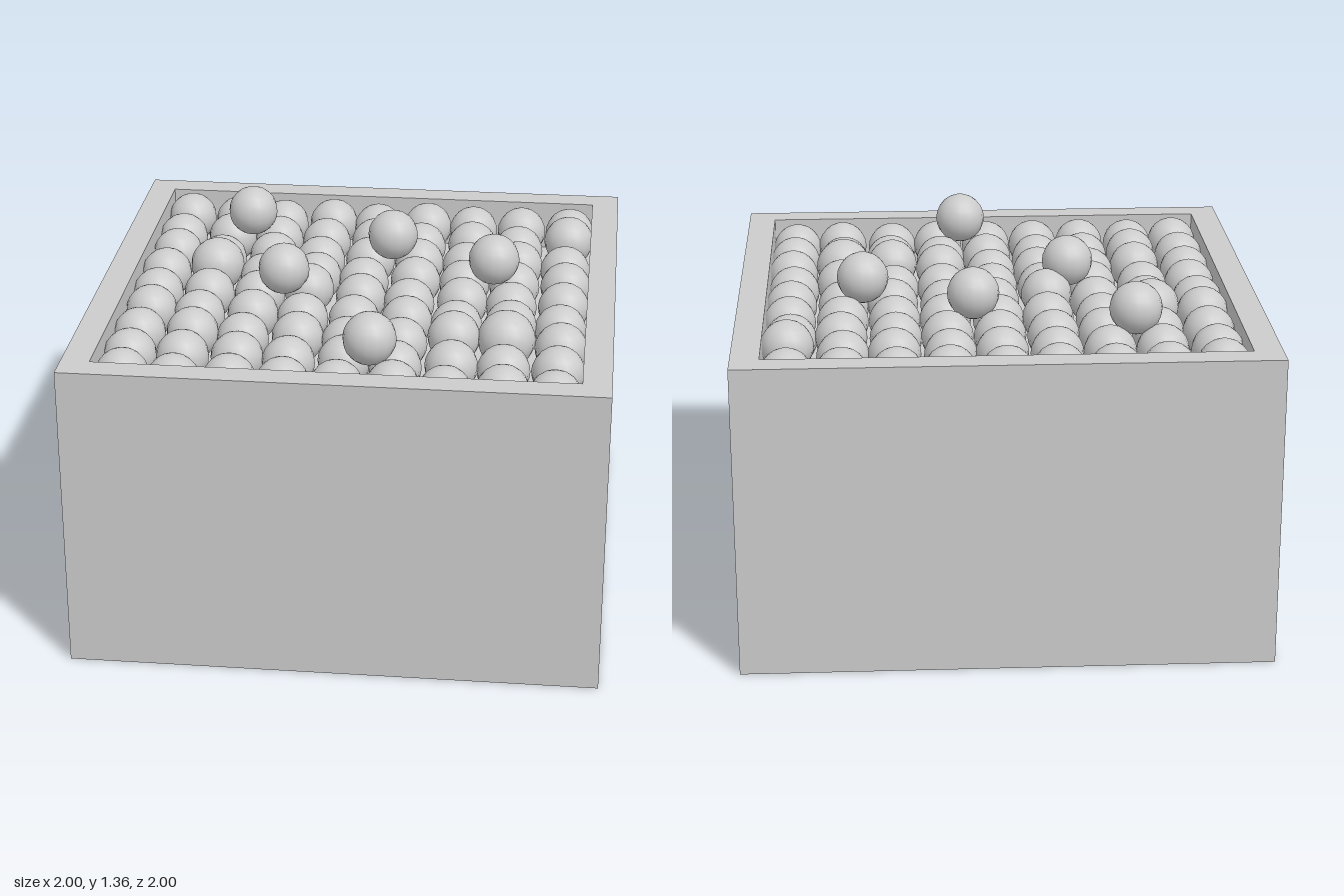
import * as THREE from 'three';

export function createModel() {
  const model = new THREE.Group();
  const material = new THREE.MeshStandardMaterial({ color: 0xcccccc });

  // Square tub: four-sided lathe with outer wall, rim, inner wall and bed
  const profile = [[0, 0], [1, 0], [1, 1.2], [0.893, 1.2], [0.893, 1.0], [0, 1.0]]
    .map(([r, y]) => new THREE.Vector2(r * Math.SQRT2, y));
  const tubGeometry = new THREE.LatheGeometry(profile, 4, Math.PI / 4).toNonIndexed();
  tubGeometry.computeVertexNormals();
  const tub = new THREE.Mesh(tubGeometry, material);
  tub.name = 'tub';
  model.add(tub);

  const ballGeometry = new THREE.SphereGeometry(0.1, 16, 12);
  const addBall = (parent, name, x, y, z, scale = 1) => {
    const ball = new THREE.Mesh(ballGeometry, material);
    ball.name = name;
    ball.position.set(x, y, z);
    ball.scale.setScalar(scale);
    parent.add(ball);
  };

  // Balls that sit off the regular grid: "column,row" -> [dx, dy, dz, scale]
  const shifted = {
    '1,3': [0, 0.04, 0, 1.08], '3,4': [0, 0.04, -0.01, 1],
    '7,6': [0, 0.04, 0, 1.1], '6,6': [0, 0.04, 0.01, 1],
    '8,1': [0, 0.04, 0, 1], '0,3': [0, 0.01, 0.02, 1],
    '1,2': [0, 0, 0.02, 1], '5,6': [0, 0.01, 0.03, 1],
    '7,5': [0, 0.01, 0.03, 1], '1,6': [0, 0.01, 0.02, 1],
    '1,7': [0, 0.01, 0.02, 1], '0,0': [0, 0.01, 0, 1],
  };

  // Nine by nine layer of balls level with the rim
  const layer = new THREE.Group();
  layer.name = 'ballLayer';
  for (let row = 0; row < 9; row++) {
    for (let col = 0; col < 9; col++) {
      const [dx, dy, dz, scale] = shifted[`${col},${row}`] || [0, 0, 0, 1];
      // Slight, repeatable unevenness
      const wobble = 0.005 * Math.sin(col * 2.7 + row * 4.1);
      addBall(layer, 'ball', -0.8 + col * 0.2 + dx + wobble,
        1.105 + dy + wobble, -0.8 + row * 0.2 + dz - wobble, scale);
    }
  }
  model.add(layer);

  // Loose balls resting on the layer
  const loose = new THREE.Group();
  loose.name = 'looseBalls';
  for (const [x, z] of [[-0.5, -0.54], [0.1, -0.33], [0.52, -0.11], [-0.29, 0.07], [0.11, 0.7]]) {
    addBall(loose, 'looseBall', x, 1.255, z);
  }
  model.add(loose);

  return model;
}
